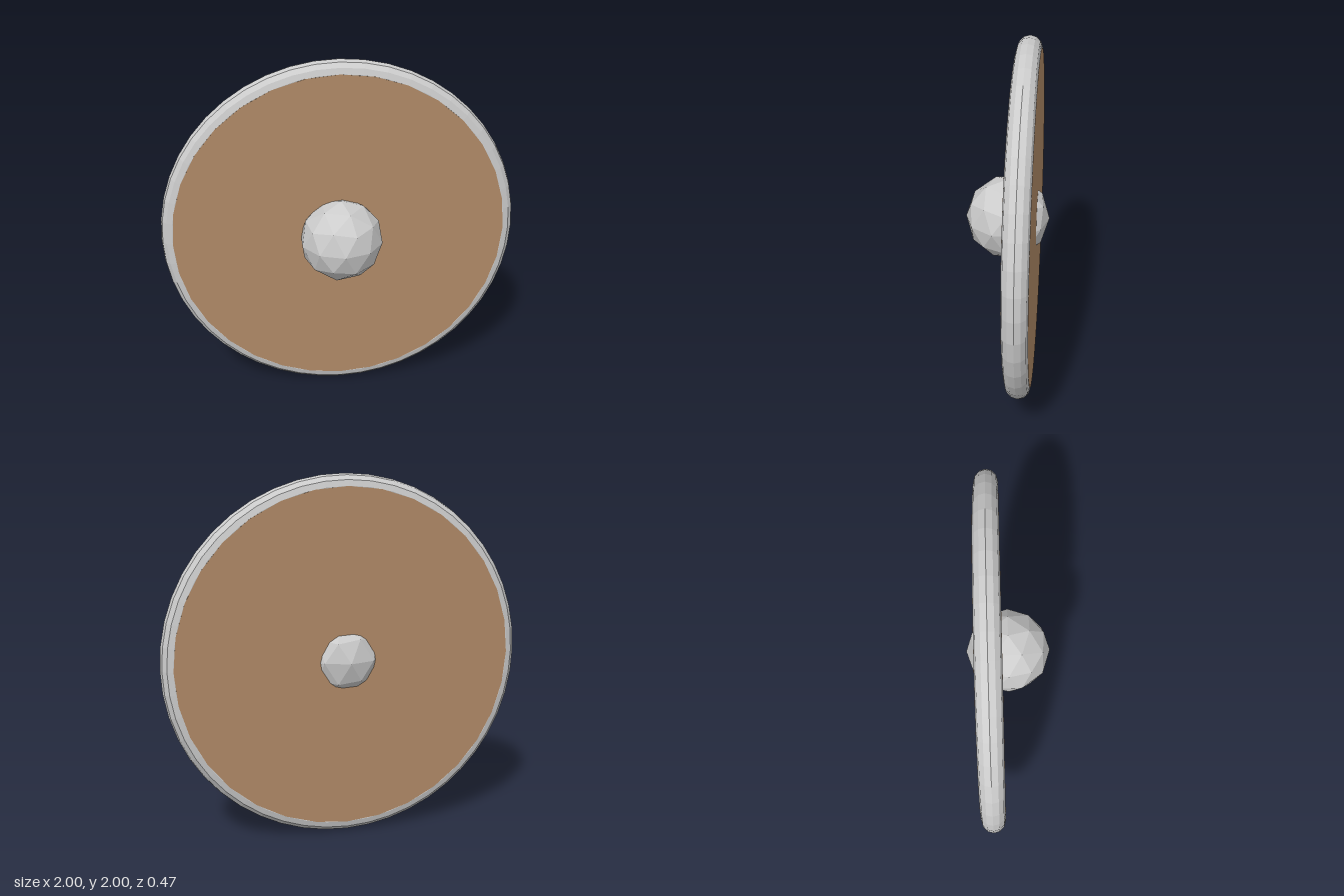
import * as THREE from 'three';

const RING_RADIUS = 0.935;  // centre line of the rim
const TUBE_RADIUS = 0.065;
const BOSS_RADIUS = 0.234;
const SHIELD_Z = -0.1;

function addPart(group, name, geometry, color, z) {
  const material = new THREE.MeshStandardMaterial({ color, flatShading: true });
  const mesh = new THREE.Mesh(geometry, material);
  mesh.name = name;
  mesh.position.set(0, 1, z);
  group.add(mesh);
}

export function createModel() {
  const shield = new THREE.Group();
  shield.name = 'roundShield';

  // Flat wooden board, as thick as the rim
  const board = new THREE.CylinderGeometry(RING_RADIUS, RING_RADIUS, TUBE_RADIUS * 2 + 0.001, 32);
  board.rotateX(Math.PI / 2);
  addPart(shield, 'board', board, 0xb08a67, SHIELD_Z);

  // Rounded metal rim
  addPart(shield, 'rim', new THREE.TorusGeometry(RING_RADIUS, TUBE_RADIUS, 12, 48), 0xcccccc, SHIELD_Z);

  // Faceted boss through the middle, turned so one corner points straight up
  const boss = new THREE.IcosahedronGeometry(BOSS_RADIUS, 1);
  boss.rotateZ(-Math.atan(2 / (1 + Math.sqrt(5))));
  addPart(shield, 'boss', boss, 0xcccccc, 0);

  return shield;
}
